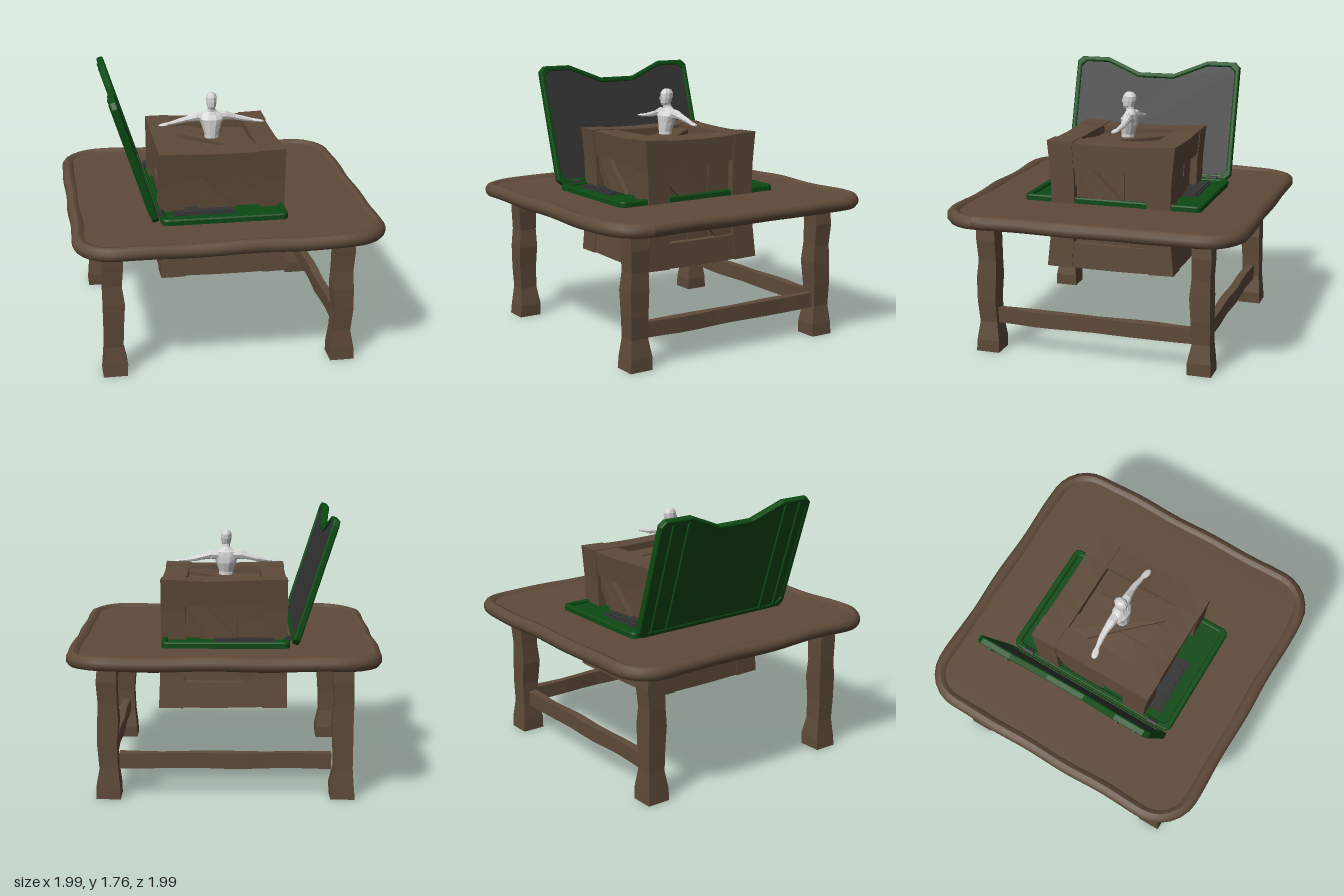
import * as THREE from 'three';
import { mergeGeometries } from 'three/addons/utils/BufferGeometryUtils.js';

const mat = (name, color) => Object.assign(new THREE.MeshStandardMaterial({ color }), { name });
const PI = Math.PI;

// Faceted copy of a geometry
function flat(geo) {
  const g = geo.index ? geo.toNonIndexed() : geo;
  g.deleteAttribute('uv');
  g.computeVertexNormals();
  return g;
}

// Move every vertex by a rule
function warp(geo, rule) {
  const p = geo.attributes.position, v = new THREE.Vector3();
  for (let i = 0; i < p.count; i++) {
    rule(v.fromBufferAttribute(p, i));
    p.setXYZ(i, v.x, v.y, v.z);
  }
  geo.computeVertexNormals();
  return geo;
}

// Capped skin over rings [y, radiusX, radiusZ, centreX, centreZ]
function loft(rings, sides, phase = 0) {
  const pos = [], idx = [];
  rings.forEach(([y, rx, rz = rx, cx = 0, cz = 0]) => {
    for (let j = 0; j < sides; j++) {
      const a = phase + j / sides * 2 * PI;
      pos.push(cx + Math.cos(a) * rx, y, cz - Math.sin(a) * rz);
    }
  });
  const last = (rings.length - 1) * sides;
  for (let j = 0; j < sides; j++) {
    const k = (j + 1) % sides;
    for (let i = 0; i < last; i += sides) {
      idx.push(i + j, i + k, i + sides + k, i + j, i + sides + k, i + sides + j);
    }
    if (j > 0 && j < sides - 1) idx.push(0, k, j, last, last + j, last + k);
  }
  const g = new THREE.BufferGeometry();
  g.setAttribute('position', new THREE.Float32BufferAttribute(pos, 3));
  g.setIndex(idx);
  return flat(g);
}

function roundedRect(x0, y0, x1, y1, r, Type = THREE.Shape) {
  const s = new Type();
  s.absarc(x1 - r, y1 - r, r, 0, PI / 2);
  s.absarc(x0 + r, y1 - r, r, PI / 2, PI);
  s.absarc(x0 + r, y0 + r, r, PI, 1.5 * PI);
  s.absarc(x1 - r, y0 + r, r, 1.5 * PI, 2 * PI);
  s.closePath();
  return s;
}

// Lid outline with a dipped top edge, inset by d
function lidOutline(d, Type = THREE.Shape) {
  const w = 0.605 - d, t = 0.835 - d, n = 0.735 - d, c = 0.035;
  const half = [[w - c, d], [w, d + c], [w, t - c], [w - c, t], [0.37, t], [0.13, n]];
  const pts = [...half, ...half.map(([x, y]) => [-x, y]).reverse()];
  return new Type(pts.map(([x, y]) => new THREE.Vector2(x, y)));
}

export function createModel() {
  const wood = mat('wood', 0x5e4a39);
  const green = mat('green casing', 0x0c4a13);
  const dark = mat('dark grey', 0x333333);
  const pale = mat('pale grey', 0xd4d4d4);

  const model = new THREE.Group();
  const add = (name, geo, material, parent = model) => {
    const m = new THREE.Mesh(geo, material);
    m.name = name;
    parent.add(m);
    return m;
  };
  const box = (w, h, d, x = 0, y = 0, z = 0) => new THREE.BoxGeometry(w, h, d).translate(x, y, z);

  // Table top: uneven rounded rim, top panel and dark underside
  const pts = roundedRect(-0.95, -0.95, 0.95, 0.95, 0.22).getSpacedPoints(100).slice(0, 100);
  const path = new THREE.CatmullRomCurve3(pts.map(p => new THREE.Vector3(p.x, 0.915, p.y)), true);
  add('tableRim', warp(new THREE.TubeGeometry(path, 128, 0.045, 10, true), v => {
    v.y += 0.005 * Math.sin(v.x * 9 + 1) * Math.cos(v.z * 7);
    v.x *= 1 + 0.004 * Math.sin(v.z * 11);
    v.z *= 1 + 0.004 * Math.sin(v.x * 10 + 2);
  }), wood);
  const panel = roundedRect(-0.945, -0.945, 0.945, 0.945, 0.21);
  add('tablePanel', new THREE.ShapeGeometry(panel, 8).rotateX(-PI / 2).translate(0, 0.942, 0), wood);
  add('tableUnderside', new THREE.ShapeGeometry(panel, 8).rotateX(PI / 2).translate(0, 0.885, 0), dark);

  // Legs: hewn square posts with wider feet
  const legRings = [[0, 0.078], [0.08, 0.076], [0.2, 0.059], [0.35, 0.062], [0.5, 0.067],
    [0.62, 0.06], [0.76, 0.064], [0.9, 0.06]];
  for (const x of [-0.755, 0.735]) {
    for (const z of [-0.712, 0.718]) {
      const rings = legRings.map(([y, h], i) =>
        [y, h * Math.SQRT2, h * Math.SQRT2, i ? 0.005 * Math.sin(i * 2.3 + x) : 0, i ? 0.005 * Math.cos(i * 1.7 + z) : 0]);
      add('tableLeg', loft(rings, 4, PI / 4).translate(x, 0, z), wood);
    }
  }

  // Stretchers along the back and the left side
  const bar = () => flat(warp(new THREE.BoxGeometry(1.35, 0.1, 0.055, 10, 1, 1), v => {
    v.z += 0.004 * Math.sin(v.x * 12);
    v.y += 0.003 * Math.sin(v.x * 9 + v.z * 40);
  }));
  add('backStretcher', bar().translate(-0.008, 0.24, -0.71), wood);
  add('sideStretcher', bar().rotateY(PI / 2).translate(0.735, 0.24, 0), wood);

  // Crate: corner beams, then planks and a brace on each of six faces
  const parts = [];
  const plank = (w, h, d, x, y, z) => {
    const g = new THREE.BoxGeometry(w, h, d, w > 0.3 ? 4 : 1, h > 0.3 ? 4 : 1, d > 0.3 ? 4 : 1).translate(x, y, z);
    parts.push(g);
    return g;
  };
  for (const a of [-1, 1]) {
    for (const b of [-1, 1]) {
      plank(0.165, 0.84, 0.165, a * 0.3375, 0, b * 0.3375);
      plank(0.52, 0.165, 0.165, 0, a * 0.333, b * 0.333);
      plank(0.165, 0.165, 0.52, a * 0.333, b * 0.333, 0);
    }
  }
  const turns = [[0, 0], [0, PI / 2], [0, PI], [0, -PI / 2], [-PI / 2, 0], [PI / 2, 0]];
  for (const [rx, ry] of turns) {
    const turn = g => g.rotateX(rx).rotateY(ry);
    for (const i of [-1, 0, 1]) turn(plank(0.168, 0.53, 0.03, i * 0.172, 0, 0.352 + 0.004 * i));
    const brace = new THREE.Shape([[-0.26, 0.26], [-0.26, 0.14], [0.14, -0.26], [0.26, -0.26], [0.26, -0.14], [-0.14, 0.26]]
      .map(([x, y]) => new THREE.Vector2(x, y)));
    parts.push(turn(new THREE.ExtrudeGeometry(brace, { depth: 0.04, bevelEnabled: false }).translate(0, 0, 0.355)));
  }
  const crate = mergeGeometries(parts.map(flat));
  add('crate', flat(warp(crate, v => {
    const { x, y, z } = v;
    v.x = x * 0.98 + 0.01 * Math.max(0, -y) * (x > 0 ? 4 : 0);
    v.z = z * (0.97 + 0.38 * y * y);
    v.y = y * 1.01 + 0.93 + 0.01 * Math.sin(x * 8 + 1) * Math.cos(z * 5) * (y > 0 ? 1 : 0.6);
  })), wood);

  // Computer base: tray rim, sunken deck, keys
  const rim = roundedRect(-0.42, -0.605, 0.4, 0.605, 0.04);
  rim.holes.push(roundedRect(-0.385, -0.565, 0.365, 0.565, 0.03, THREE.Path));
  add('baseRim', flat(new THREE.ExtrudeGeometry(rim, {
    depth: 0.104, bevelSize: 0.008, bevelThickness: 0.008, bevelOffset: -0.008, bevelSegments: 1, curveSegments: 4,
  }).rotateX(-PI / 2).translate(0, 0.868, 0)), green);
  add('baseDeck', box(0.77, 0.1, 1.15, -0.01, 0.912, 0), green);
  add('keyboardPlate', box(0.4, 0.006, 0.99, -0.13, 0.965, 0), dark);
  for (const z of [-0.455, 0.455]) {
    for (let i = 0; i < 7; i++) add('key', box(0.046, 0.012, 0.055, -0.295 + i * 0.055, 0.973, z), dark);
  }

  // Tilted lid: frame, backing, screen and rear ribs
  const lid = new THREE.Group();
  lid.name = 'lid';
  lid.position.set(-0.432, 0.97, 0);
  lid.rotation.z = 0.31;
  model.add(lid);
  const frame = lidOutline(0);
  frame.holes.push(lidOutline(0.035, THREE.Path));
  const sideways = (g, x) => g.rotateY(PI / 2).translate(x, 0, 0);
  add('lidFrame', flat(sideways(new THREE.ExtrudeGeometry(frame, {
    depth: 0.026, bevelSize: 0.01, bevelThickness: 0.01, bevelOffset: -0.01, bevelSegments: 2,
  }), -0.036)), green, lid);
  add('lidBack', sideways(new THREE.ExtrudeGeometry(lidOutline(0.02), { depth: 0.025, bevelEnabled: false }), -0.04), green, lid);
  add('screen', sideways(new THREE.ShapeGeometry(lidOutline(0.025)), -0.012), dark, lid);
  for (const z of [-0.51, -0.39, 0.39, 0.51]) add('lidRib', box(0.014, 0.78, 0.018, -0.047, 0.42, z), green, lid);
  for (const z of [-0.48, 0.48]) {
    add('hinge', new THREE.CylinderGeometry(0.016, 0.016, 0.07, 10).rotateX(PI / 2).translate(-0.415, 0.982, z), dark);
  }

  // Figure rising out of the crate with arms spread
  const figure = new THREE.Group();
  figure.name = 'figure';
  figure.position.set(-0.01, 0, 0);
  model.add(figure);
  add('torso', loft([[1.3, 0.05, 0.045, 0, 0.01], [1.35, 0.047, 0.045, 0, 0.01], [1.41, 0.066, 0.056],
    [1.455, 0.085, 0.056], [1.485, 0.08, 0.042, 0, -0.01], [1.505, 0.04, 0.032, 0, -0.01],
    [1.52, 0.026, 0.028, 0, -0.005], [1.545, 0.026, 0.028]], 10), pale, figure);
  add('head', loft([[1.525, 0.02, 0.02, 0, 0.015], [1.54, 0.03, 0.038, 0, 0.006], [1.575, 0.036, 0.046],
    [1.605, 0.036, 0.046, 0, -0.003], [1.625, 0.027, 0.034, 0, -0.003], [1.634, 0.012, 0.015]], 10), pale, figure);
  add('nose', box(0.01, 0.02, 0.012, 0, 1.573, 0.046), pale, figure);
  // Arm rings: reach, radius up, radius deep, height, depth
  const arm = [[0.05, 0.034, 0.034, 1.465, -0.012], [0.1, 0.031, 0.03, 1.468, -0.015], [0.16, 0.02, 0.022, 1.452, -0.02],
    [0.21, 0.019, 0.02, 1.44, -0.02], [0.28, 0.012, 0.014, 1.428, -0.01], [0.305, 0.011, 0.022, 1.425, -0.004],
    [0.335, 0.009, 0.021, 1.422, 0], [0.355, 0.005, 0.01, 1.42, 0.002]];
  for (const s of [-1, 1]) {
    const rings = arm.map(([l, ry, rz, y, z]) => [l, ry, rz, -s * y, z]);
    add(s > 0 ? 'leftArm' : 'rightArm', loft(rings, 8).rotateZ(-s * PI / 2), pale, figure);
  }
  return model;
}
